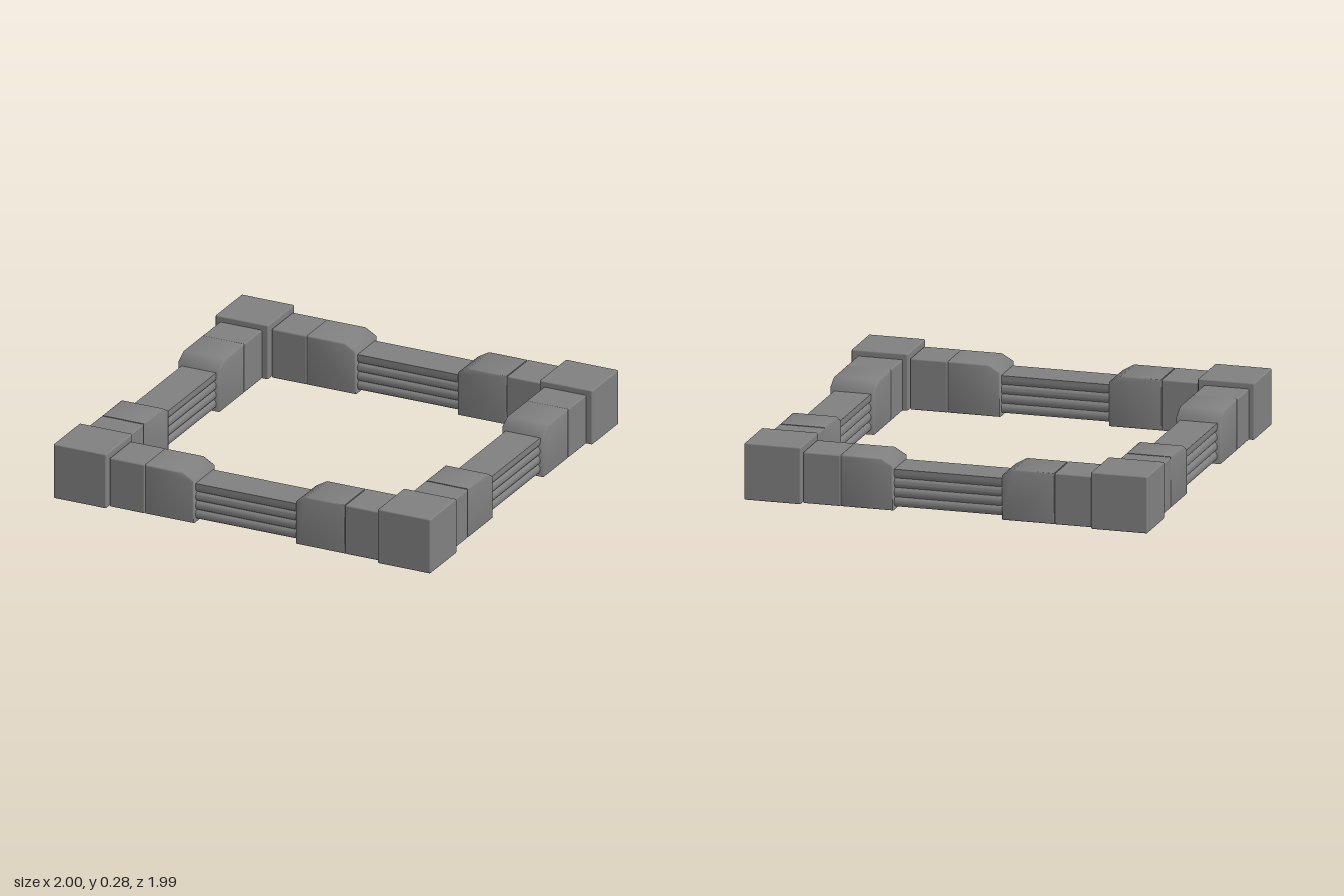
import * as THREE from 'three';
import { RoundedBoxGeometry } from 'three/addons/geometries/RoundedBoxGeometry.js';
import { toCreasedNormals } from 'three/addons/utils/BufferGeometryUtils.js';

const material = new THREE.MeshStandardMaterial({ color: 0x808080 });

function part(name, geometry, x, y, z) {
  const mesh = new THREE.Mesh(geometry, material);
  mesh.name = name;
  mesh.position.set(x, y, z);
  return mesh;
}

// End block: upright box whose inner top corner is chamfered, with softened edges
function endBlockGeometry(side) {
  const b = 0.007;
  const points = [[0.27, 0], [0.53, 0], [0.53, 0.252], [0.328, 0.252], [0.27, 0.218]]
    .map(([x, y]) => new THREE.Vector2(side * x, y));
  if (side < 0) points.reverse();
  const geometry = new THREE.ExtrudeGeometry(new THREE.Shape(points), {
    depth: 0.224 - 2 * b, bevelEnabled: true, bevelSize: b, bevelOffset: -b, bevelThickness: b, bevelSegments: 2,
  });
  geometry.translate(0, 0, -0.112 + b);
  return toCreasedNormals(geometry, 1.1);
}

// Rail: long bar with four rounded ribs on both faces
function railGeometry() {
  const ribs = 4, steps = 6, bottom = 0.014, height = 0.186, half = 0.092, groove = 0.014;
  const face = [];
  for (let i = 0; i < ribs; i++) {
    // neighbouring ribs share the point at the bottom of their groove
    for (let j = i === 0 ? 0 : 1; j <= steps; j++) {
      const t = j / steps;
      // the top rib stays square at its upper edge
      const bulge = i === ribs - 1 && t > 0.5 ? 1 : Math.sqrt(Math.max(0, Math.sin(Math.PI * t)));
      face.push([half - groove * (1 - bulge), bottom + height * (i + t) / ribs]);
    }
  }
  const outline = [...face, ...face.map(([x, y]) => [-x, y]).reverse()];
  const shape = new THREE.Shape(outline.map(([x, y]) => new THREE.Vector2(x, y)));
  const geometry = new THREE.ExtrudeGeometry(shape, { depth: 0.56, bevelEnabled: false });
  geometry.translate(0, 0, -0.28);
  geometry.rotateY(Math.PI / 2);
  return toCreasedNormals(geometry, 0.8);
}

export function createModel() {
  const model = new THREE.Group();
  model.name = 'squareFrame';
  const corner = new RoundedBoxGeometry(0.28, 0.28, 0.28, 2, 0.007);
  const middle = new RoundedBoxGeometry(0.186, 0.252, 0.224, 2, 0.007);
  const ends = { '-1': endBlockGeometry(-1), '1': endBlockGeometry(1) };
  const rail = railGeometry();

  // Four sides, each turned a quarter, with their distance from the centre
  [['front', 0.853], ['left', 0.856], ['back', 0.857], ['right', 0.863]].forEach(([name, reach], i) => {
    const side = new THREE.Group();
    side.name = name + 'Side';
    side.rotation.y = i * Math.PI / 2;
    side.add(part('ribbedRail', rail, 0, 0, reach));
    for (const s of [-1, 1]) {
      side.add(part('endBlock', ends[s], 0, 0, reach));
      side.add(part('middleBlock', middle, s * 0.624, 0.126, reach));
    }
    model.add(side);
  });

  // Corner cubes
  for (const x of [-1, 1]) {
    for (const z of [-1, 1]) model.add(part('cornerBlock', corner, x * 0.86, 0.14, z * 0.855));
  }
  return model;
}
